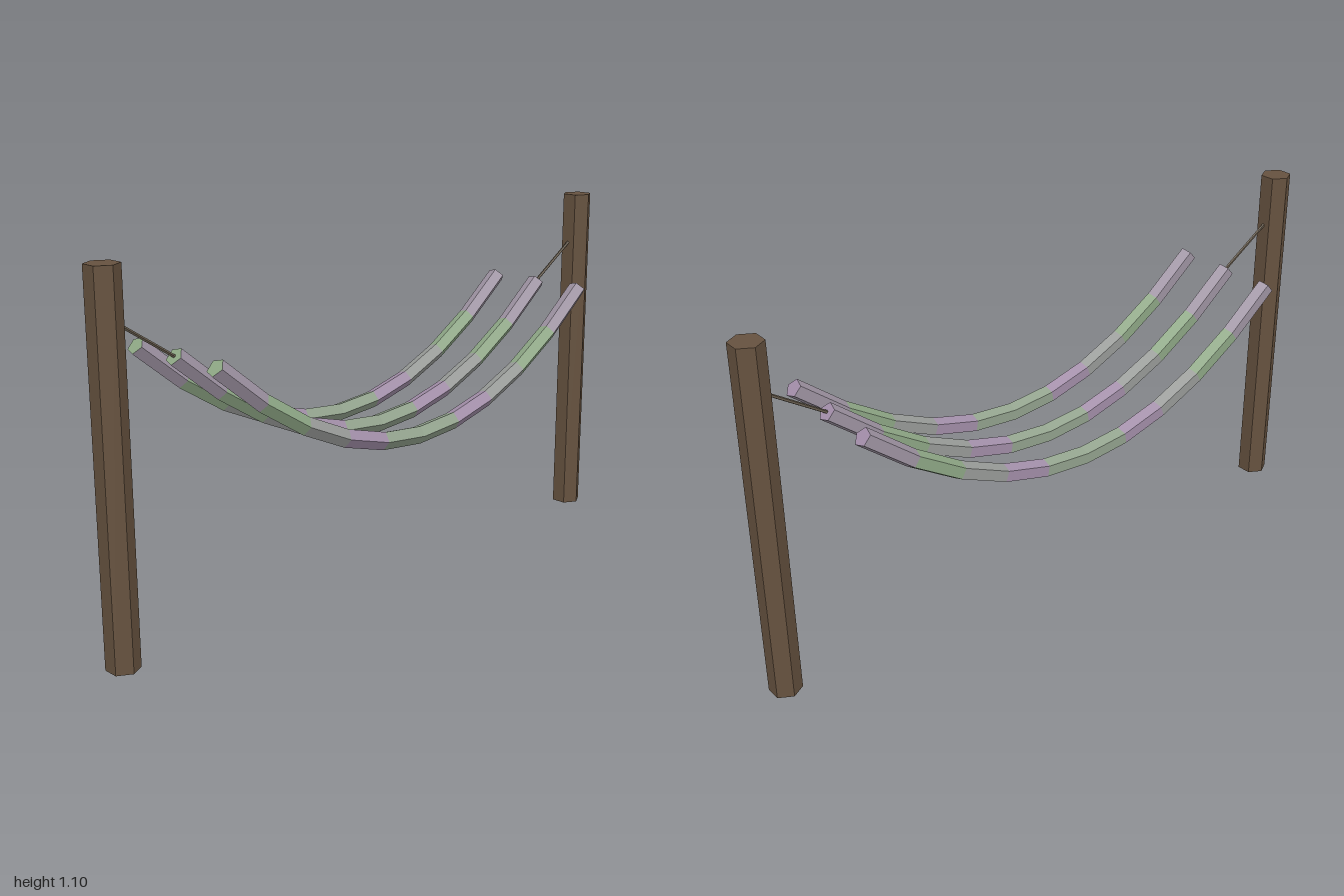
import * as THREE from 'three';

const POST = 0x66523f, ROPE = 0x6a5f50;
const GREEN = new THREE.Color(0x8fa986), PURPLE = new THREE.Color(0xa48fab);
const SPAN = 0.75, LOW = 0.485, RISE = 0.338;
const SEGMENTS = 10, SIDES = 5, RADIUS = 0.028;

// Sagging parabola, stepped evenly along x
class SagCurve extends THREE.Curve {
  getPoint(t, target = new THREE.Vector3()) {
    const u = 2 * t - 1;
    return target.set(u * SPAN, LOW + RISE * u * u, 0);
  }
  getUtoTmapping(u) { return u; }
}

function part(name, geometry, color) {
  const mesh = new THREE.Mesh(geometry, new THREE.MeshStandardMaterial({ color, flatShading: true }));
  mesh.name = name;
  return mesh;
}

// Blend from purple to green in repeating bands along x
function bandColor(x) {
  return PURPLE.clone().lerp(GREEN, 0.5 + 0.5 * Math.cos(4 * Math.PI * x));
}

// One striped, five-sided strand with closed ends
function createStrand(name, z) {
  const strand = new THREE.Group();
  strand.name = name;
  const tube = new THREE.TubeGeometry(new SagCurve(), SEGMENTS, RADIUS, SIDES, false);
  const indices = Array.from(tube.index.array);
  const perBand = SIDES * 6;
  for (let i = 0; i < SEGMENTS; i++) {
    const band = tube.clone();
    band.setIndex(indices.slice(i * perBand, (i + 1) * perBand));
    const x = ((i + 0.5) / SEGMENTS * 2 - 1) * SPAN;
    strand.add(part('clothBand', band.toNonIndexed(), bandColor(x)));
  }
  // End caps, square to the curve
  const zAxis = new THREE.Vector3(0, 0, 1);
  for (const side of [-1, 1]) {
    const outward = new THREE.Vector3(side * SPAN, 2 * RISE, 0).normalize();
    const across = outward.clone().cross(zAxis);
    const cap = new THREE.CircleGeometry(RADIUS, SIDES);
    cap.applyMatrix4(new THREE.Matrix4().makeBasis(zAxis, across, outward));
    cap.translate(side * SPAN, LOW + RISE, 0);
    strand.add(part('strandEnd', cap, side < 0 ? GREEN : PURPLE));
  }
  strand.position.z = z;
  return strand;
}

// Thin straight rope between two points
function createRope(name, from, to) {
  const rope = part(name, new THREE.CylinderGeometry(0.005, 0.005, from.distanceTo(to), 5), ROPE);
  rope.position.lerpVectors(from, to, 0.5);
  rope.quaternion.setFromUnitVectors(new THREE.Vector3(0, 1, 0), to.clone().sub(from).normalize());
  return rope;
}

export function createModel() {
  const hammock = new THREE.Group();
  hammock.name = 'hammock';

  // Hexagonal posts and the ropes tied to them
  for (const [label, side] of [['left', 1], ['right', -1]]) {
    const post = part(label + 'Post', new THREE.CylinderGeometry(0.048, 0.048, 1.096, 6), POST);
    post.position.set(side * 0.958, 0.548, 0);
    hammock.add(post);
    hammock.add(createRope(label + 'Rope',
      new THREE.Vector3(side * SPAN, LOW + RISE, 0),
      new THREE.Vector3(side * 0.918, 0.934, 0)));
  }

  // Three parallel strands form the bed
  hammock.add(createStrand('backStrand', -0.172));
  hammock.add(createStrand('middleStrand', 0));
  hammock.add(createStrand('frontStrand', 0.172));
  return hammock;
}
